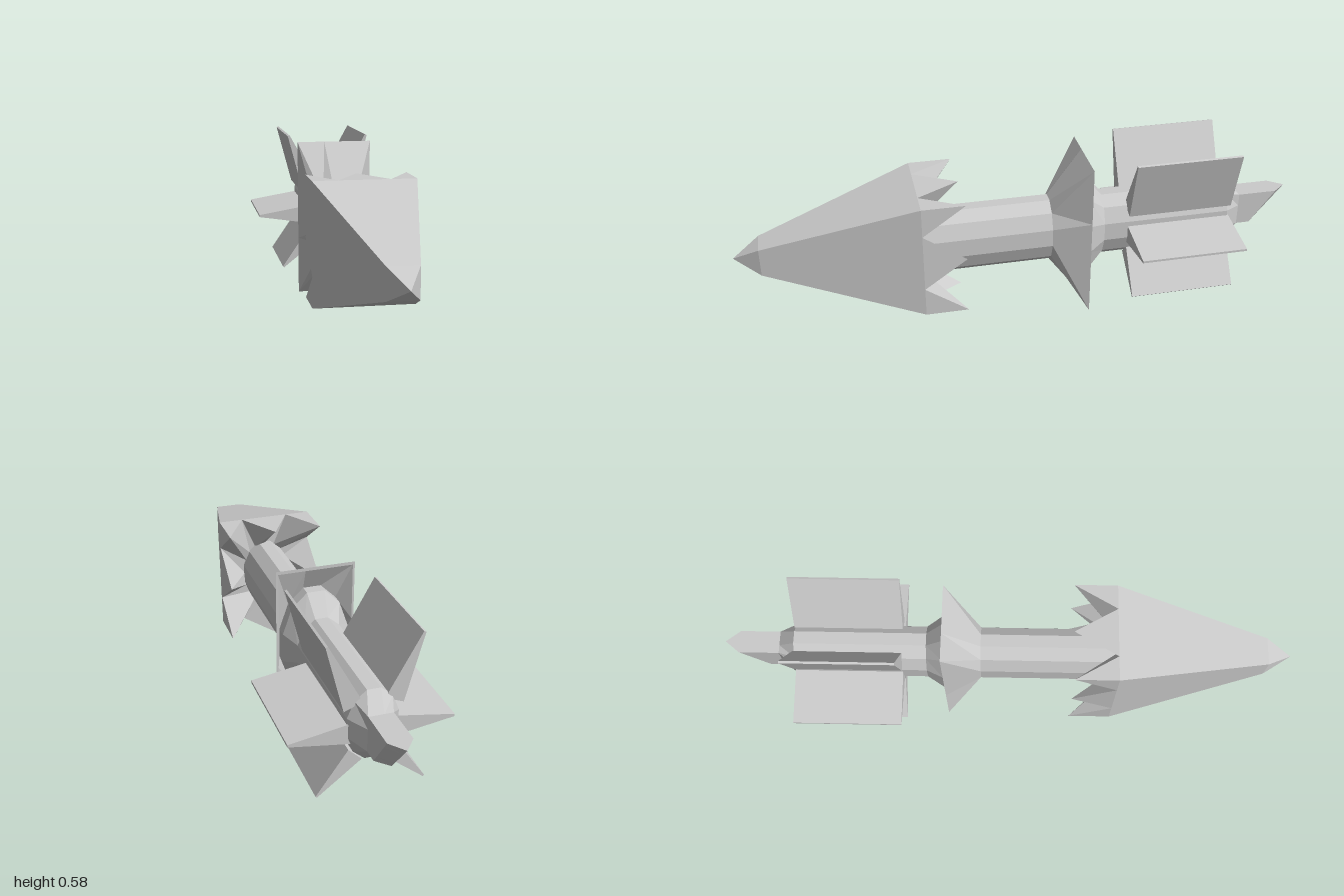
import * as THREE from 'three';

const material = new THREE.MeshStandardMaterial({ color: 0xcccccc, flatShading: true, side: THREE.DoubleSide });

// Skin between successive rings of points, running from front to back
function loft(name, rings) {
  const pos = [];
  const tri = (a, b, c) => {
    const n = b.clone().sub(a).cross(c.clone().sub(a));
    if (n.lengthSq() > 1e-14) for (const p of [a, b, c]) pos.push(p.x, p.y, p.z);
  };
  for (let r = 0; r < rings.length - 1; r++) {
    const A = rings[r], B = rings[r + 1], n = A.length;
    for (let j = 0; j < n; j++) {
      const k = (j + 1) % n;
      tri(A[j], B[j], A[k]);
      tri(A[k], B[j], B[k]);
    }
  }
  const geo = new THREE.BufferGeometry();
  geo.setAttribute('position', new THREE.Float32BufferAttribute(pos, 3));
  geo.computeVertexNormals();
  const mesh = new THREE.Mesh(geo, material);
  mesh.name = name;
  return mesh;
}

// Twelve-sided oval ring; rx and ry reach to the flats
function oval(rx, ry, cy, z) {
  return Array.from({ length: 12 }, (_, i) => {
    const a = (i + 0.5) * Math.PI / 6, s = 1 / Math.cos(Math.PI / 12);
    return new THREE.Vector3(Math.cos(a) * rx * s, cy + Math.sin(a) * ry * s, z);
  });
}

// The same ring pushed out to a rectangle
function rect12(hx, hy, cy, z) {
  return Array.from({ length: 12 }, (_, i) => {
    const a = (i + 0.5) * Math.PI / 6, c = Math.cos(a), s = Math.sin(a);
    const m = Math.max(Math.abs(c), Math.abs(s));
    return new THREE.Vector3(c / m * hx, cy + s / m * hy, z);
  });
}

// Sixteen-point rectangle: even points are edge middles and corners
function rect16(hx, hy, cy, zAt) {
  const clampUnit = (v) => Math.max(-1, Math.min(1, v));
  return Array.from({ length: 16 }, (_, i) => {
    const tri = (t) => Math.abs(((t % 16) + 16) % 16 - 8) / 2 - 2; // triangle wave, -2..2
    const u = clampUnit(tri(i)), v = clampUnit(tri(i - 4));
    return new THREE.Vector3(u * hx, cy + v * hy, zAt(i, u, v));
  });
}

// Tapered fin running along z, from root point to tip point in the xy plane
function fin(name, root, tip, rootT, tipT) {
  const a = new THREE.Vector2(...root), b = new THREE.Vector2(...tip);
  const d = b.clone().sub(a).normalize(), n = new THREE.Vector2(-d.y, d.x);
  const corner = (p, t) => p.clone().addScaledVector(n, t / 2);
  const shape = new THREE.Shape([corner(a, -rootT), corner(b, -tipT), corner(b, tipT), corner(a, rootT)]);
  const geo = new THREE.ExtrudeGeometry(shape, { depth: 0.38, bevelEnabled: false });
  geo.translate(0, 0, -0.755);
  const mesh = new THREE.Mesh(geo, material);
  mesh.name = name;
  return mesh;
}

export function createModel() {
  const model = new THREE.Group();
  model.name = 'arrowDart';
  const cy = 0.292;

  // Pointed head with a toothed rear edge and hollowed teeth
  const headY = 0.304;
  const innerRing = rect16(1, 1, 0, () => 0.37).map((p) => {
    const l = Math.hypot(p.x, p.y);
    return new THREE.Vector3(p.x / l * 0.08, cy + p.y / l * 0.115, 0.37);
  });
  model.add(loft('head', [
    rect16(0, 0, headY, () => 1),
    rect16(0.049, 0.05, headY, () => 0.91),
    rect16(0.172, 0.209, headY, () => 0.37),
    rect16(0.172, 0.209, headY, (i) => (i % 2 ? 0.37 : 0.22)),
    innerRing,
  ]));

  // Shaft
  model.add(loft('shaft', [
    oval(0.083, 0.121, cy, 0.42),
    oval(0.083, 0.121, cy, -0.75),
  ]));

  // Flared collar with a recessed back and a short rear cone
  model.add(loft('collar', [
    oval(0.083, 0.121, cy, -0.1),
    rect12(0.137, 0.286, 0.286, -0.227),
    rect12(0.13, 0.275, 0.286, -0.227),
    oval(0.115, 0.195, 0.288, -0.19),
    oval(0.115, 0.195, 0.288, -0.23),
    oval(0.083, 0.121, cy, -0.29),
  ]));

  // Taper behind the fins
  model.add(loft('tailTaper', [
    oval(0.083, 0.121, cy, -0.75),
    rect12(0.04, 0.06, 0.3, -0.81),
    rect12(0, 0, 0.3, -0.81),
  ]));

  // Tail block, cut to a slanted ridge at the end
  const endZ = (v, side) => -0.95 + 0.05 * v * -1 + side * (0.045 + 0.005 * v);
  model.add(loft('tail', [
    rect16(0.04, 0.06, 0.3, () => -0.8),
    rect16(0.04, 0.06, 0.3, (i, u, v) => endZ(v, Math.abs(u))),
    rect16(0, 0.06, 0.3, (i, u, v) => endZ(v, 0)),
  ]));

  // Six fins in mirrored pairs
  for (const [side, s] of [['left', 1], ['right', -1]]) {
    model.add(fin(side + 'UpperFin', [0.065 * s, 0.365], [0.151 * s, 0.58], 0.065, 0.008));
    model.add(fin(side + 'MiddleFin', [0.06 * s, 0.272], [0.268 * s, 0.27], 0.075, 0.008));
    model.add(fin(side + 'LowerFin', [0.055 * s, 0.195], [0.177 * s, 0.064], 0.06, 0.006));
  }
  return model;
}
